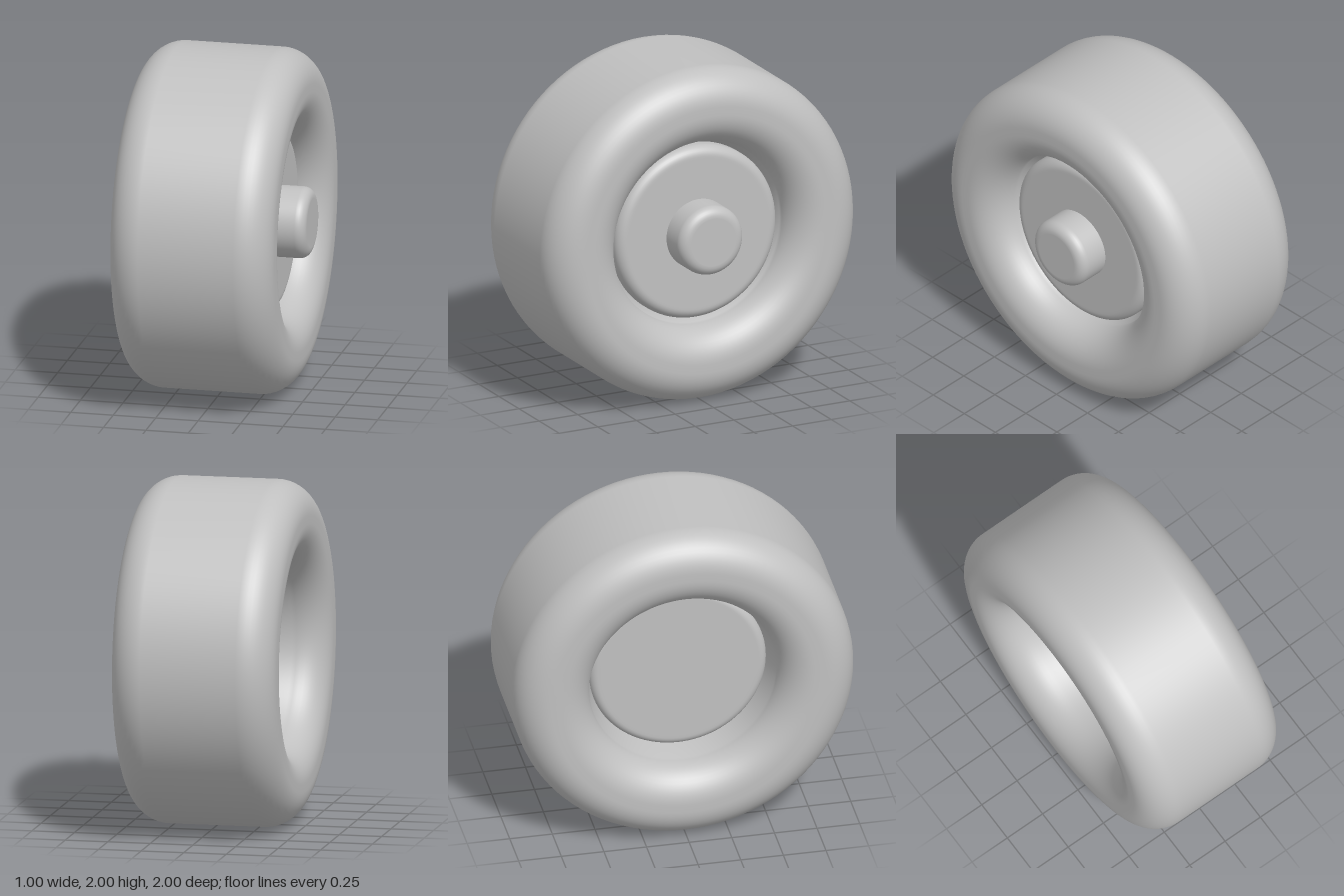
import * as THREE from 'three';

// Rounded corner of a profile: centre (r, x), radius, start and end angle in degrees
function corner(r, x, radius, from, to, steps = 12) {
  return Array.from({ length: steps + 1 }, (_, i) => {
    const a = THREE.MathUtils.degToRad(from + (to - from) * i / steps);
    return new THREE.Vector2(r + radius * Math.cos(a), x + radius * Math.sin(a));
  });
}

// Solid of revolution about the x axis
function turned(name, points, material) {
  const geometry = new THREE.LatheGeometry(points, 96);
  geometry.rotateZ(-Math.PI / 2);
  const mesh = new THREE.Mesh(geometry, material);
  mesh.name = name;
  mesh.position.y = 1;
  return mesh;
}

// Round-edged disc lying between two x positions
function discProfile(radius, back, front, backBevel, frontBevel) {
  return [
    new THREE.Vector2(0, back),
    new THREE.Vector2((radius - backBevel) * 0.97, back),
    ...corner(radius - backBevel, back + backBevel, backBevel, -90, 0, 8),
    ...corner(radius - frontBevel, front - frontBevel, frontBevel, 0, 90, 8),
    new THREE.Vector2((radius - frontBevel) * 0.97, front),
    new THREE.Vector2(0, front),
  ];
}

export function createModel() {
  const grey = new THREE.MeshStandardMaterial({ color: 0xc0c0c0 });
  grey.name = 'light grey';

  const wheel = new THREE.Group();
  wheel.name = 'wheel';

  // Fat tyre with fully rounded shoulders and a narrow bore
  const tyre = [
    new THREE.Vector2(0.51, -0.02),
    new THREE.Vector2(0.515, -0.16),
    ...corner(0.75, -0.3, 0.2, 180, 270),
    ...corner(0.8, -0.3, 0.2, 270, 360),
    ...corner(0.8, 0.26, 0.2, 0, 90),
    ...corner(0.75, 0.26, 0.2, 90, 180),
    new THREE.Vector2(0.515, 0.2),
    new THREE.Vector2(0.51, -0.02),
  ];
  wheel.add(turned('tyre', tyre, grey));

  // Recessed disc filling the bore
  wheel.add(turned('wheelDisc', discProfile(0.52, -0.21, 0.31, 0.05, 0.06), grey));

  // Hub cap standing proud on the outer side only
  wheel.add(turned('hubCap', discProfile(0.207, 0.2, 0.5, 0.02, 0.06), grey));

  return wheel;
}
